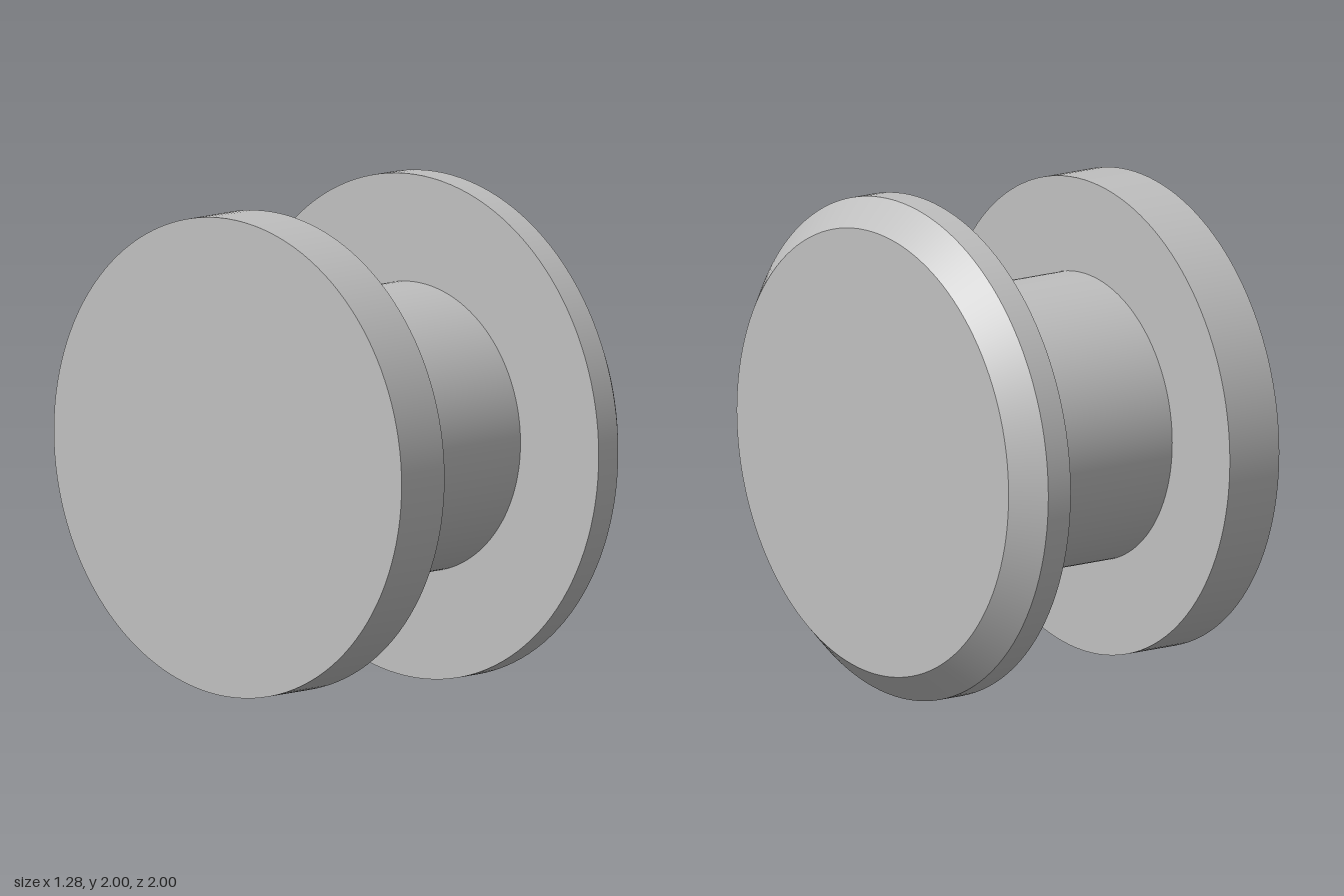
import * as THREE from 'three';
import { mergeGeometries } from 'three/addons/utils/BufferGeometryUtils.js';

// Turns a [radius, x] profile around the x axis, with a crisp edge at each profile point
function turned(name, profile, material) {
  const bands = [];
  for (let i = 0; i < profile.length - 1; i++) {
    const ends = [profile[i], profile[i + 1]].map(([r, x]) => new THREE.Vector2(r, x));
    bands.push(new THREE.LatheGeometry(ends, 128));
  }
  const geometry = mergeGeometries(bands);
  geometry.rotateZ(-Math.PI / 2);
  geometry.translate(0, 1, 0);
  const mesh = new THREE.Mesh(geometry, material);
  mesh.name = name;
  return mesh;
}

export function createModel() {
  const grey = new THREE.MeshStandardMaterial({ color: 0xbfbfbf });
  grey.name = 'light grey';

  const group = new THREE.Group();
  group.name = 'spool';
  const shaft = 0.573;

  // Plain disc on the right, open where the shaft meets it
  group.add(turned('plainFlange', [[0, -0.64], [0.95, -0.64], [0.95, -0.398], [shaft, -0.398]], grey));
  // Shaft between the two flanges
  group.add(turned('shaft', [[shaft, -0.398], [shaft, 0.418]], grey));
  // Larger disc on the left with a chamfered outer rim
  group.add(turned('chamferedFlange', [[shaft, 0.418], [1, 0.418], [1, 0.528], [0.89, 0.64], [0, 0.64]], grey));

  return group;
}
